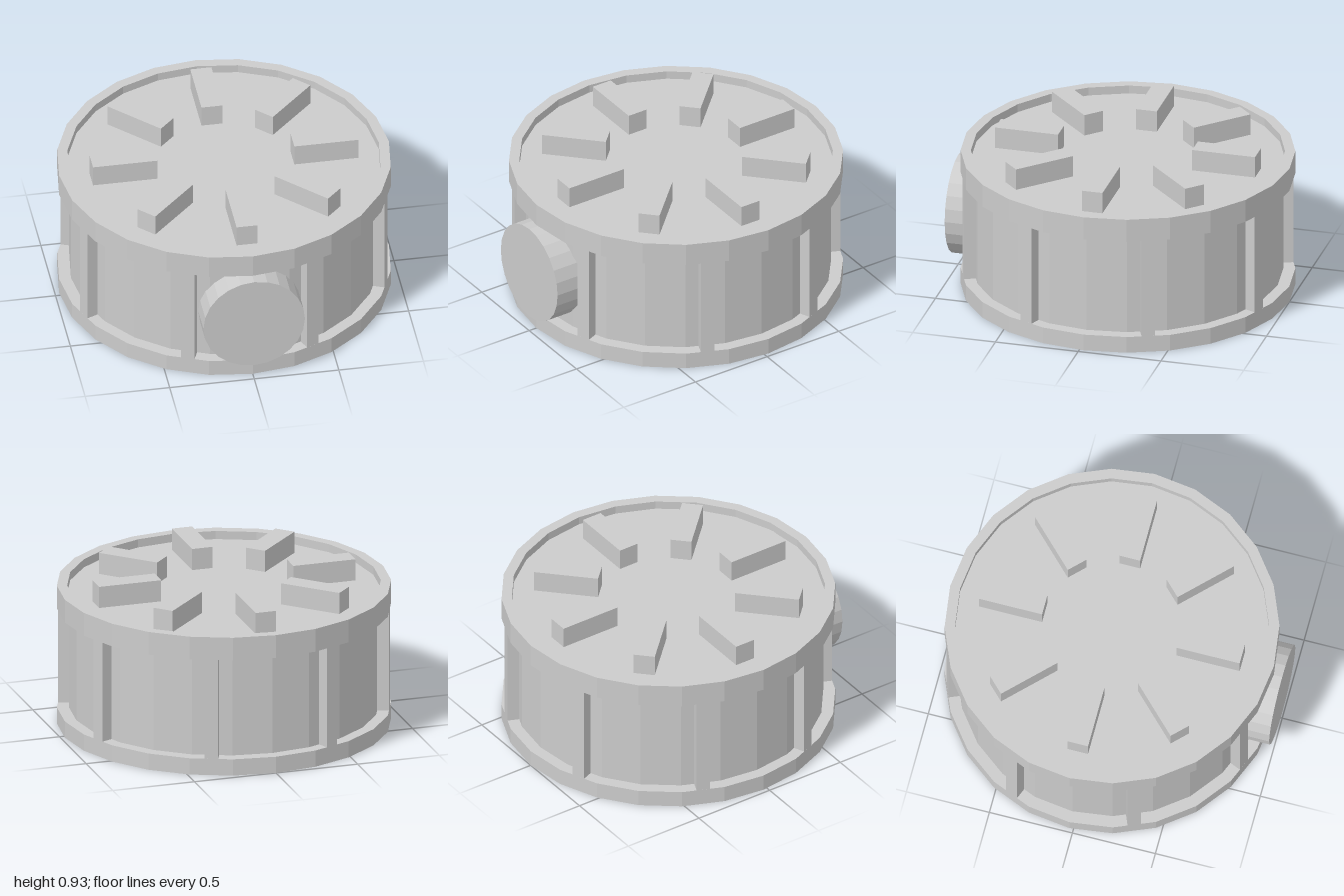
import * as THREE from 'three';

const SIDES = 24;

export function createModel() {
  const model = new THREE.Group();
  const drum = new THREE.Group();
  drum.name = 'drum';
  drum.position.z = -0.025;
  model.add(drum);
  const material = new THREE.MeshStandardMaterial({ color: 0xcccccc, flatShading: true });

  const add = (parent, name, geometry) => {
    const mesh = new THREE.Mesh(geometry, material);
    mesh.name = name;
    parent.add(mesh);
    return mesh;
  };

  // Casing: bottom flange, recessed wall, top flange with a raised lip
  const profile = [
    [0, 0], [0.975, 0], [0.975, 0.1], [0.905, 0.1], [0.905, 0.71],
    [0.975, 0.71], [0.975, 0.85], [0.915, 0.85], [0.915, 0.8], [0, 0.8],
  ].map(([r, y]) => new THREE.Vector2(r, y));
  add(drum, 'casing', new THREE.LatheGeometry(profile, SIDES));

  // Places a box on a spoke at the given angle around the drum
  const addSpoke = (name, angle, [w, h, d], y, radius) => {
    const mesh = add(drum, name, new THREE.BoxGeometry(w, h, d));
    mesh.position.set(Math.sin(angle) * radius, y, Math.cos(angle) * radius);
    mesh.rotation.y = angle;
  };

  for (let i = 0; i < 8; i++) {
    const angle = (i * Math.PI) / 4;
    // Radial blocks standing on the lid
    addSpoke('lidBlock', angle, [0.125, 0.13, 0.38], 0.865, 0.595);
    // Posts between the flanges, flush with the flange facets
    addSpoke('sidePost', angle + Math.PI / 8, [0.08, 0.61, 0.1], 0.405, 0.9165);
  }

  // Round knob on the front
  const knob = add(model, 'frontKnob', new THREE.CylinderGeometry(0.3, 0.3, 0.18, SIDES));
  knob.rotation.x = Math.PI / 2;
  knob.position.set(0, 0.4, 0.91);

  return model;
}
